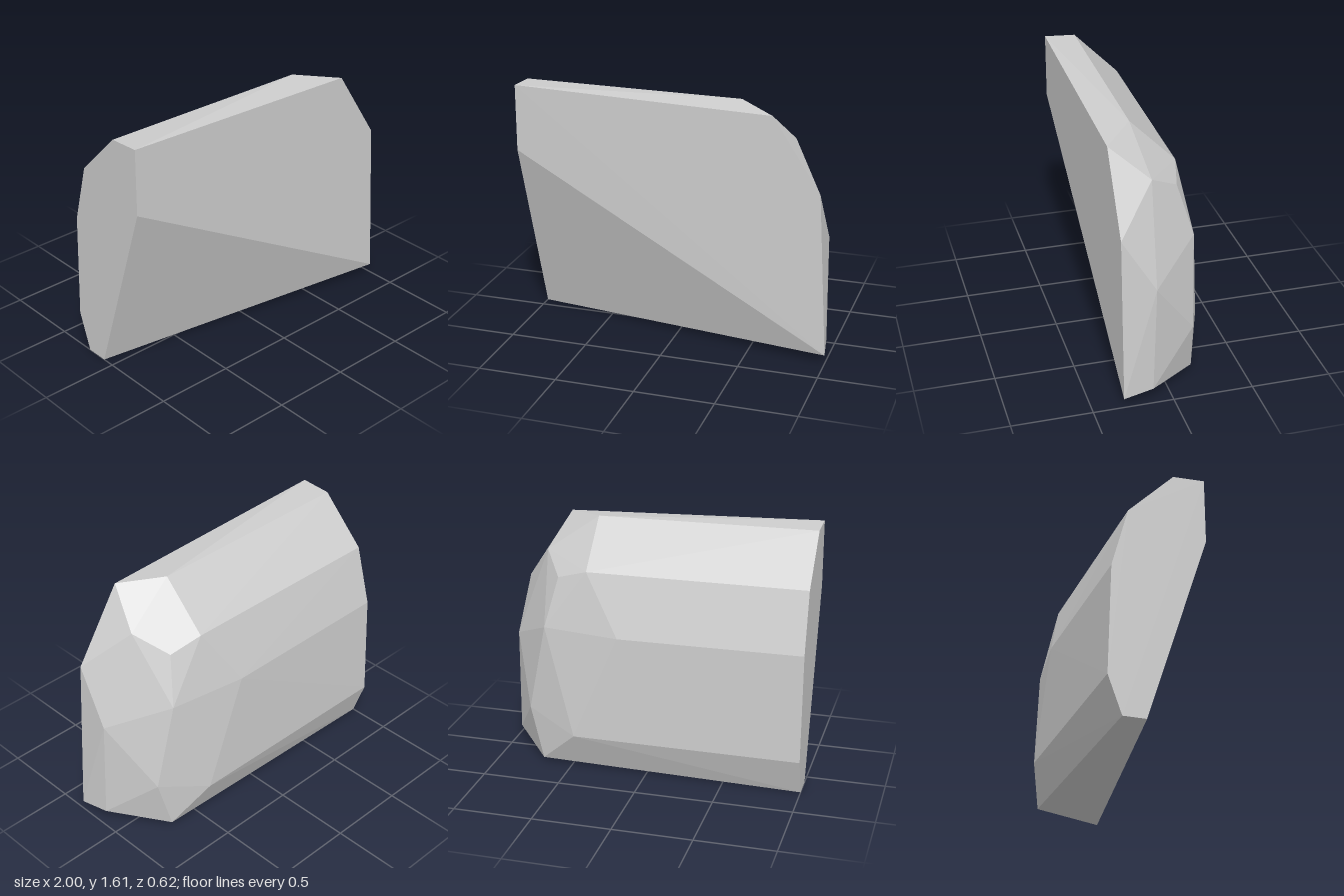
import * as THREE from 'three';
import { ConvexGeometry } from 'three/addons/geometries/ConvexGeometry.js';

export function createModel() {
  const grey = new THREE.MeshStandardMaterial({ color: 0xcccccc });
  grey.name = 'plain grey';

  // flat cut end at x = -1, as (y, z)
  const cutEnd = [
    [1.61, 0.31], [1.6, 0.11], [1.31, -0.18], [0.93, -0.285],
    [0.24, -0.31], [0, -0.225], [0, -0.08], [1.19, 0.31],
  ].map(([y, z]) => [-1, y, z]);

  // where the long back facets end
  const shoulder = [
    [0.4, 1.59, 0.115], [0.4, 1.305, -0.17], [0.17, 0.925, -0.285],
    [0.46, 0.24, -0.3], [0.7, 0.02, -0.2],
  ];

  // chamfered rounded end
  const roundedEnd = [
    [0.73, 1.36, 0.07], [0.6, 1.24, -0.12], [0.67, 0.93, -0.21],
    [0.96, 0.76, 0.1], [0.79, 0.36, -0.18], [0.97, 0.08, 0.12],
  ];

  // outer rim of the flat front
  const frontRim = [[0.64, 1.56, 0.31], [0.94, 1.1, 0.31], [1, 0.06, 0.31]];

  const points = [...cutEnd, ...shoulder, ...roundedEnd, ...frontRim]
    .map((p) => new THREE.Vector3(...p));
  const block = new THREE.Mesh(new ConvexGeometry(points), grey);
  block.name = 'facetedBlock';

  const model = new THREE.Group();
  model.name = 'facetedSlab';
  model.add(block);
  return model;
}
